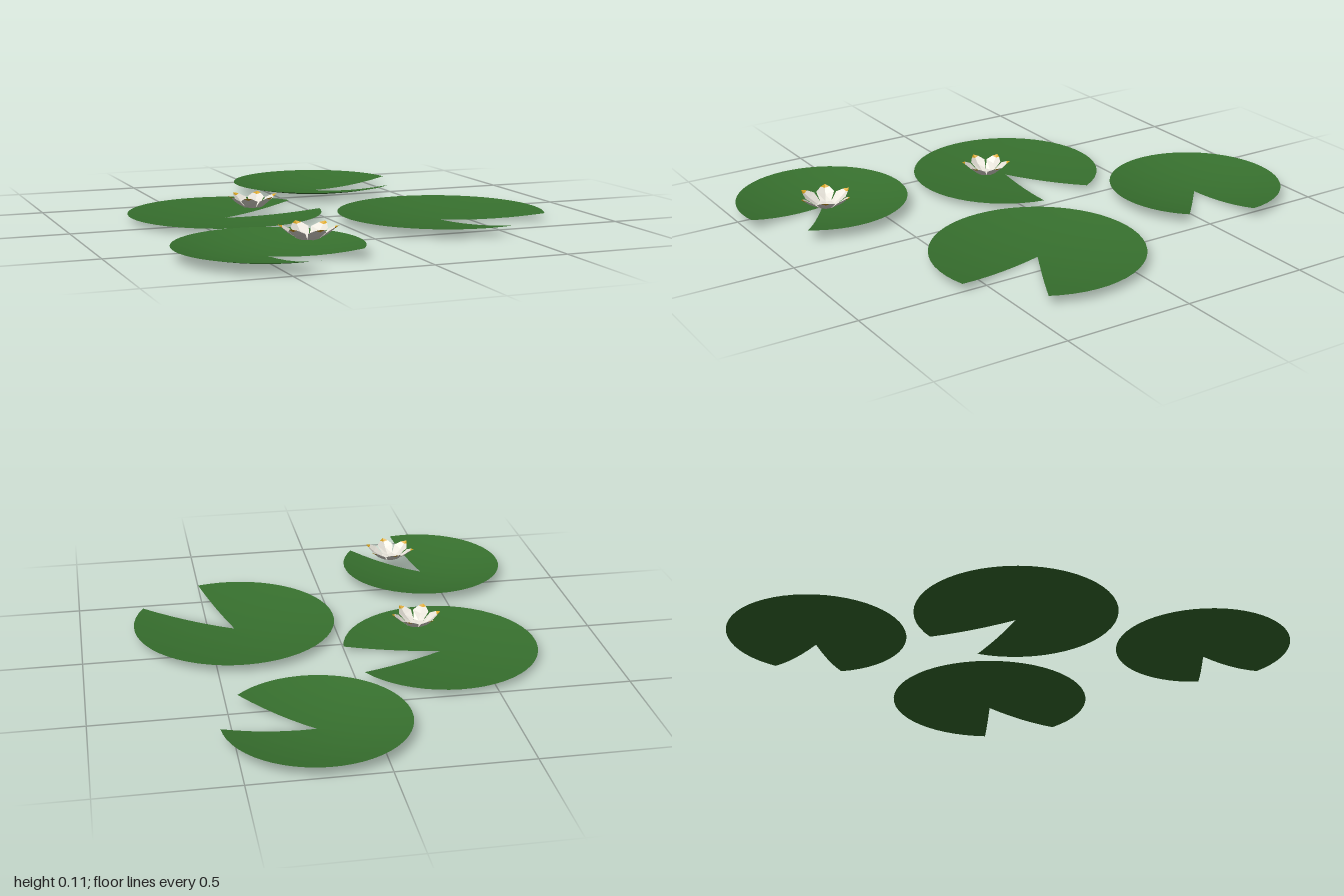
import * as THREE from 'three';

const mat = (name, color, flat) =>
  new THREE.MeshStandardMaterial({ name, color, side: THREE.DoubleSide, flatShading: flat });

// Shallow dished leaf with a wedge cut out between two angles (degrees, from +x towards +z)
function padGeometry(radius, height, from, to) {
  const rad = THREE.MathUtils.degToRad;
  const g = new THREE.RingGeometry(0, radius, 48, 6, rad(-from), rad(360 - (to - from)));
  g.rotateX(-Math.PI / 2);
  const p = g.attributes.position;
  for (let i = 0; i < p.count; i++) {
    const t = Math.hypot(p.getX(i), p.getZ(i)) / radius;
    p.setY(i, height * t * t);
  }
  g.computeVertexNormals();
  return g;
}

// Creased strip along +x; each row is [distance, midline height, half width, edge lift]
function petalGeometry(rows) {
  const pos = [];
  const at = ([r, y, w, lift], s) => [r, y + lift * Math.abs(s), w * s];
  for (let i = 0; i < rows.length - 1; i++) {
    for (const s of [-1, 0]) {
      const a = at(rows[i], s), b = at(rows[i], s + 1);
      const c = at(rows[i + 1], s), d = at(rows[i + 1], s + 1);
      pos.push(...a, ...b, ...c, ...b, ...d, ...c);
    }
  }
  const g = new THREE.BufferGeometry();
  g.setAttribute('position', new THREE.Float32BufferAttribute(pos, 3));
  g.computeVertexNormals();
  return g;
}

export function createModel() {
  const model = new THREE.Group();
  model.name = 'waterLilies';
  const green = mat('leafGreen', 0x37702e, false);
  const white = mat('petalWhite', 0xe6e2d8, true);
  const gold = mat('tipGold', 0xd9a520, true);

  // Floating leaves: x, z, radius, rim height, notch start, notch end
  const pads = [
    [0.205, -0.66, 0.34, 0.04, -3, 42],
    [-0.365, -0.125, 0.375, 0.024, -28, 8.5],
    [0.395, 0.218, 0.397, 0.033, 28, 74],
    [-0.463, 0.66, 0.333, 0.042, 35, 78],
  ];
  pads.forEach(([x, z, r, h, a, b], i) => {
    const pad = new THREE.Mesh(padGeometry(r, h, a, b), green);
    pad.name = `lilyPad${i + 1}`;
    pad.position.set(x, 0, z);
    model.add(pad);
  });

  // Six-petalled flowers with gold petal tips
  const shoulder = [0.087, 0.096, 0.016, 0.006];
  const petal = petalGeometry([
    [0, 0, 0.002, 0], [0.035, 0.06, 0.02, 0.003], [0.066, 0.078, 0.033, 0.012], shoulder,
  ].map((row, i) => (i === 0 ? [0, 0.056, 0.002, 0] : row)));
  const tip = petalGeometry([shoulder, [0.101, 0.107, 0, 0]]);
  const flowers = [[-0.297, 0.01, 0, 0.96], [-0.335, 0.705, 25, 1.04]];
  flowers.forEach(([x, z, turn, size], i) => {
    const flower = new THREE.Group();
    flower.name = `flower${i + 1}`;
    flower.position.set(x, 0, z);
    flower.scale.set(size, 1, size);
    for (let k = 0; k < 6; k++) {
      const group = new THREE.Group();
      group.name = `petal${k + 1}`;
      group.rotation.y = -THREE.MathUtils.degToRad(turn + k * 60);
      const blade = new THREE.Mesh(petal, white);
      blade.name = 'petalBlade';
      const end = new THREE.Mesh(tip, gold);
      end.name = 'petalTip';
      group.add(blade, end);
      flower.add(group);
    }
    model.add(flower);
  });
  return model;
}
